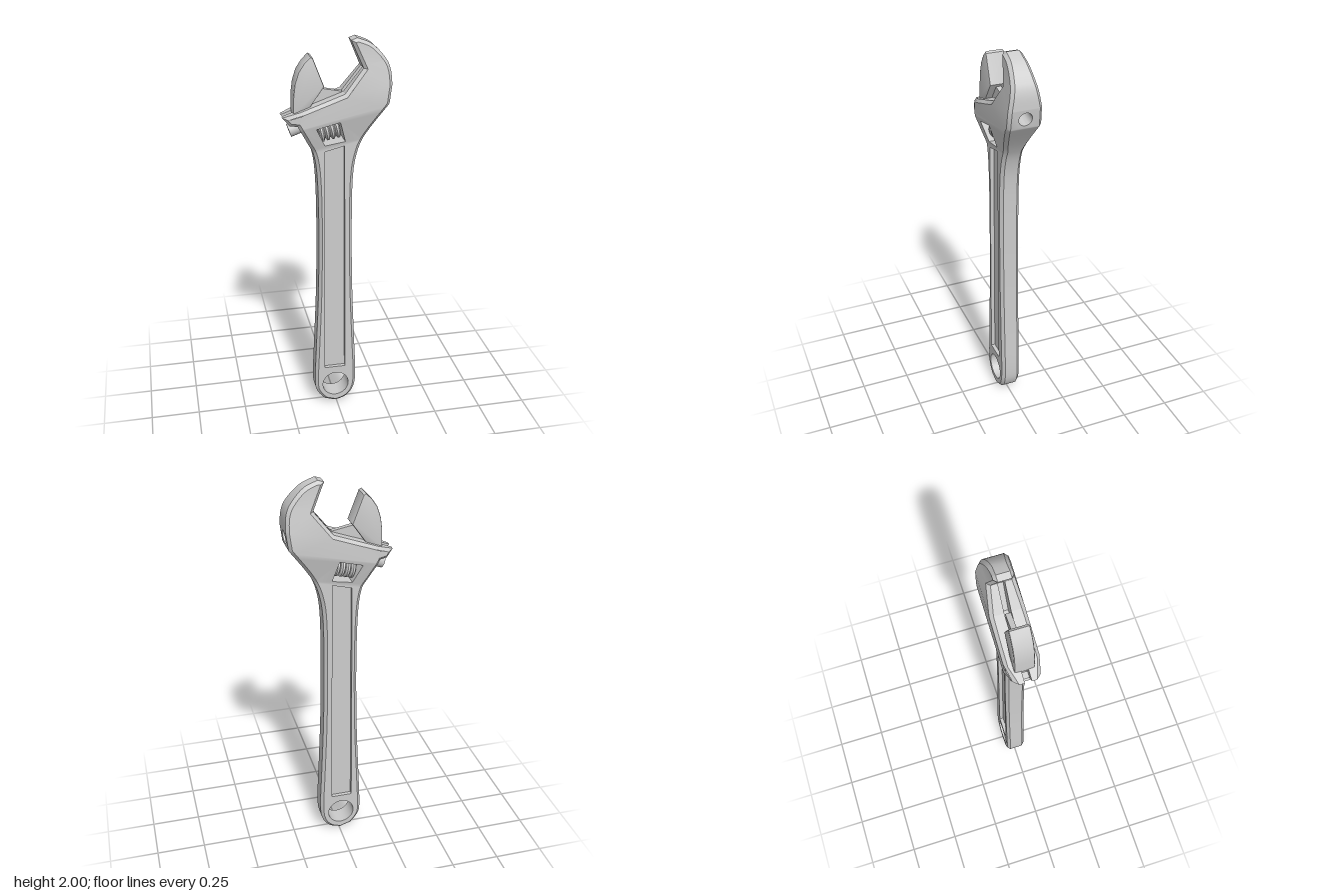
import * as THREE from 'three';
import { toCreasedNormals } from 'three/addons/utils/BufferGeometryUtils.js';

const BEVEL = 0.015, SLOT = 0.016, TAPER_X = -0.18;
// head thickness is set by v, the distance across the slanted head
const BANDS = [[-1, 0.05], [1.45, 0.05], [1.585, 0.085], [1.68, 0.082], [1.8, 0.06], [1.9, 0.046], [3, 0.046]];
const v = ([x, y]) => -0.224 * x + 0.975 * y;
const mix = (a, b, t) => [a[0] + (b[0] - a[0]) * t, a[1] + (b[1] - a[1]) * t];

// half thickness of the body at a point
function half(p) {
  const k = Math.max(1, BANDS.findIndex(b => v(p) <= b[0]));
  const [v0, h0] = BANDS[k - 1], [v1, h1] = BANDS[k];
  return h0 + (h1 - h0) * (v(p) - v0) / (v1 - v0) - Math.max(0, TAPER_X - p[0]) * 0.33;
}

const curve = (pts, n) => new THREE.SplineCurve(pts.map(p => new THREE.Vector2(...p)))
  .getPoints(n).map(p => [p.x, p.y]);
const circle = (x, y, r, n) => Array.from({ length: n }, (_, i) =>
  [x + r * Math.cos(-i * 2 * Math.PI / n), y + r * Math.sin(-i * 2 * Math.PI / n)]);
const shapeOf = pts => new THREE.Shape(pts.map(p => new THREE.Vector2(...p)));

// keep the part of a polygon where f >= 0
function clip(poly, f) {
  const out = [];
  poly.forEach((a, i) => {
    const b = poly[(i + 1) % poly.length], fa = f(a), fb = f(b);
    if (fa >= 0) out.push(a);
    if (fa * fb < 0) out.push(mix(a, b, fa / (fa - fb)));
  });
  return out.filter((p, i) => Math.hypot(p[0] - out.at(i - 1)[0], p[1] - out.at(i - 1)[1]) > 1e-6);
}

// move a counter-clockwise outline inwards
function inset(poly, d) {
  return poly.map((p, i) => {
    const a = poly.at(i - 1), b = poly[(i + 1) % poly.length];
    const n = (s, e) => new THREE.Vector2(s[1] - e[1], e[0] - s[0]).normalize();
    const n1 = n(a, p), n2 = n(p, b), m = n1.clone().add(n2).normalize();
    const k = d / Math.max(0.5, m.dot(n1));
    return [p[0] + m.x * k, p[1] + m.y * k];
  });
}

function bodyGeometry() {
  const pos = [];
  const tri = (...c) => c.forEach(p => pos.push(...p));
  const quad = (a, b, c, d) => { tri(a, b, c); tri(a, c, d); };
  const at = (p, z) => [p[0], p[1], z];
  const wall = (a, b, lo, hi) => quad(at(a, lo(a)), at(b, lo(b)), at(b, hi(b)), at(a, hi(a)));
  const loop = (pts, fn) => pts.forEach((p, i) => fn(p, pts[(i + 1) % pts.length], i));
  // flat or sloped faces, mirrored front to back
  const faces = (pts, holes, z, flip = false) => {
    const V = l => l.map(p => new THREE.Vector2(...p));
    const all = [pts, ...holes].flat();
    for (const t of THREE.ShapeUtils.triangulateShape(V(pts), holes.map(V))) {
      let [a, b, c] = t.map(i => all[i]);
      const area = (b[0] - a[0]) * (c[1] - a[1]) - (c[0] - a[0]) * (b[1] - a[1]);
      if ((area < 0) !== flip) [b, c] = [c, b];
      tri(at(a, z(a)), at(b, z(b)), at(c, z(c)));
      tri(at(a, -z(a)), at(c, -z(c)), at(b, -z(b)));
    }
  };

  // outline, counter-clockwise from the foot
  const right = curve([[-0.007, 0.003], [0.05, 0.022], [0.092, 0.075], [0.105, 0.17], [0.095, 0.42], [0.084, 0.7],
    [0.079, 1.0], [0.081, 1.29], [0.1, 1.435], [0.145, 1.54], [0.25, 1.69]], 50);
  const back = curve([[0.262, 1.78], [0.256, 1.85], [0.232, 1.905], [0.17, 1.97], [0.1, 2.0]], 14);
  const mouth = [[0.07, 1.99], [0.127, 1.86], [0.035, 1.745], [-0.262, 1.64], [-0.23, 1.602]];
  const left = curve([[-0.193, 1.6], [-0.145, 1.51], [-0.11, 1.435], [-0.094, 1.29], [-0.09, 1.0], [-0.096, 0.65],
    [-0.109, 0.35], [-0.117, 0.14], [-0.105, 0.075], [-0.065, 0.022]], 40);
  const outer = [...right, ...back, ...mouth, ...left], inner = inset(outer, BEVEL);
  const boreEdge = right.length - 1, slotStart = right.length + back.length + 1;

  // outer walls and chamfers, split where the thickness changes
  const rim = p => half(p) - BEVEL, neg = f => p => -f(p), slot = () => SLOT;
  loop(outer, (a, b, i) => {
    const a2 = inner[i], b2 = inner[(i + 1) % inner.length];
    const cuts = [0, 1];
    BANDS.forEach(([w]) => cuts.push((w - v(a)) / (v(b) - v(a))));
    cuts.push((TAPER_X - a[0]) / (b[0] - a[0]));
    const ts = cuts.filter(t => t >= 0 && t <= 1).sort((s, t) => s - t);
    for (let k = 1; k < ts.length; k++) {
      const [p, q, p2, q2] = [mix(a, b, ts[k - 1]), mix(a, b, ts[k]), mix(a2, b2, ts[k - 1]), mix(a2, b2, ts[k])];
      quad(at(p, rim(p)), at(q, rim(q)), at(q2, half(q2)), at(p2, half(p2)));
      quad(at(p2, -half(p2)), at(q2, -half(q2)), at(q, -rim(q)), at(p, -rim(p)));
      if (i >= slotStart && i < slotStart + 3) {
        wall(p, q, slot, rim);
        wall(p, q, neg(rim), neg(slot));
      } else if (i !== boreEdge) wall(p, q, neg(rim), rim);
    }
  });

  // side wall pierced by the bore, and the bore itself
  const a = outer[boreEdge], b = outer[boreEdge + 1], len = Math.hypot(b[0] - a[0], b[1] - a[1]);
  const dx = (b[0] - a[0]) / len, dy = (b[1] - a[1]) / len;
  const ring = circle(len / 2, 0, 0.033, 20);
  const side = [[0, -rim(a)], [len, -rim(b)], [len, rim(b)], [0, rim(a)]];
  const local = ([s, z], depth = 0) => [a[0] + dx * s - dy * depth, a[1] + dy * s + dx * depth, z];
  const allSide = [...side, ...ring];
  const V = l => l.map(p => new THREE.Vector2(...p));
  for (const t of THREE.ShapeUtils.triangulateShape(V(side), [V(ring)])) {
    let [p, q, r] = t.map(i => allSide[i]);
    if ((q[0] - p[0]) * (r[1] - p[1]) < (r[0] - p[0]) * (q[1] - p[1])) [q, r] = [r, q];
    tri(local(p), local(q), local(r));
  }
  loop(ring, (p, q) => {
    quad(local(p, 0.1), local(q, 0.1), local(q), local(p));
    tri(local(q, 0.1), local(p, 0.1), local([len / 2, 0], 0.1));
  });

  // openings: hanging hole, handle recess and worm window
  const hang = circle(-0.007, 0.12, 0.07, 28);
  const panel = [[-0.065, 0.228], [-0.06, 1.46], [0.037, 1.484], [0.045, 0.228]];
  const win = [[-0.06, 1.492], [-0.105, 1.585], [0.01, 1.613], [0.04, 1.507]];
  for (const h of [hang, win]) loop(h, (p, q) => wall(p, q, neg(half), half));
  const web = () => 0.03;
  loop(panel, (p, q) => { wall(p, q, web, half); wall(p, q, neg(half), neg(web)); });
  faces([...panel].reverse(), [], web);

  // front and back faces, one piece per thickness band
  for (let k = 1; k < BANDS.length; k++) {
    const lo = BANDS[k - 1][0], hi = BANDS[k][0];
    const band = clip(clip(inner, p => v(p) - lo), p => hi - v(p));
    const holes = [hang, panel, win].filter(h => v(h[0]) > lo && v(h[0]) < hi);
    [1, -1].forEach(s => {
      const cell = clip(band, p => s * (p[0] - TAPER_X));
      if (cell.length > 2) faces(cell, s > 0 ? holes : [], half);
    });
  }

  // slider slot inside the head
  const floor = [[-0.23, 1.602], [0.08, 1.67], [0.16, 1.82], [0.127, 1.86]];
  faces([...floor, [0.035, 1.745], [-0.262, 1.64]], [], slot, true);
  for (let i = 0; i < 3; i++) wall(floor[i + 1], floor[i], neg(slot), slot);

  const g = new THREE.BufferGeometry();
  g.setAttribute('position', new THREE.Float32BufferAttribute(pos, 3));
  return toCreasedNormals(g, 0.5);
}

export function createModel() {
  const group = new THREE.Group();
  const mat = new THREE.MeshStandardMaterial({ color: 0xcccccc });
  const add = (name, geo, parent = group) => {
    const m = new THREE.Mesh(geo, mat);
    m.name = name;
    parent.add(m);
    return m;
  };
  add('handleAndFixedJaw', bodyGeometry());

  // movable jaw with its web and sliding rod
  const slider = new THREE.Group();
  slider.name = 'movableJaw';
  group.add(slider);
  const jaw = shapeOf([[-0.21, 1.65], [-0.13, 1.68], [-0.06, 1.78], [-0.113, 1.918], [-0.125, 1.925],
    [-0.155, 1.895], [-0.182, 1.855], [-0.2, 1.8], [-0.208, 1.74]]);
  const jawGeo = new THREE.ExtrudeGeometry(jaw, { depth: 0.076, bevelSize: 0.009, bevelThickness: 0.009,
    bevelOffset: -0.009, bevelSegments: 2 }).translate(0, 0, -0.038);
  add('jawBlock', toCreasedNormals(jawGeo, 0.5), slider);
  const webShape = shapeOf([[-0.2, 1.6], [0.02, 1.67], [0.032, 1.745], [-0.07, 1.765], [-0.14, 1.69], [-0.2, 1.66]]);
  add('jawWeb', new THREE.ExtrudeGeometry(webShape, { depth: 0.026, bevelEnabled: false }).translate(0, 0, -0.013), slider);
  const rod = add('slidingRod', new THREE.CylinderGeometry(0.032, 0.032, 0.28, 20), slider);
  const tilt = Math.atan2(0.17, 0.476);
  rod.rotation.z = tilt - Math.PI / 2;
  rod.position.set(-0.226 + 0.14 * Math.cos(tilt), 1.563 + 0.14 * Math.sin(tilt), 0);

  // ridged adjusting worm
  const profile = [[0, -0.052]];
  for (let i = 0; i < 4; i++) {
    const y = -0.052 + i * 0.026;
    profile.push([0.036, y], [0.05, y + 0.007], [0.05, y + 0.017], [0.036, y + 0.024]);
  }
  profile.push([0, 0.052]);
  const worm = add('adjustingWorm', toCreasedNormals(
    new THREE.LatheGeometry(profile.map(p => new THREE.Vector2(...p)), 28), 0.5));
  worm.rotation.z = 0.2 - Math.PI / 2;
  worm.position.set(-0.031, 1.556, 0);
  return group;
}
